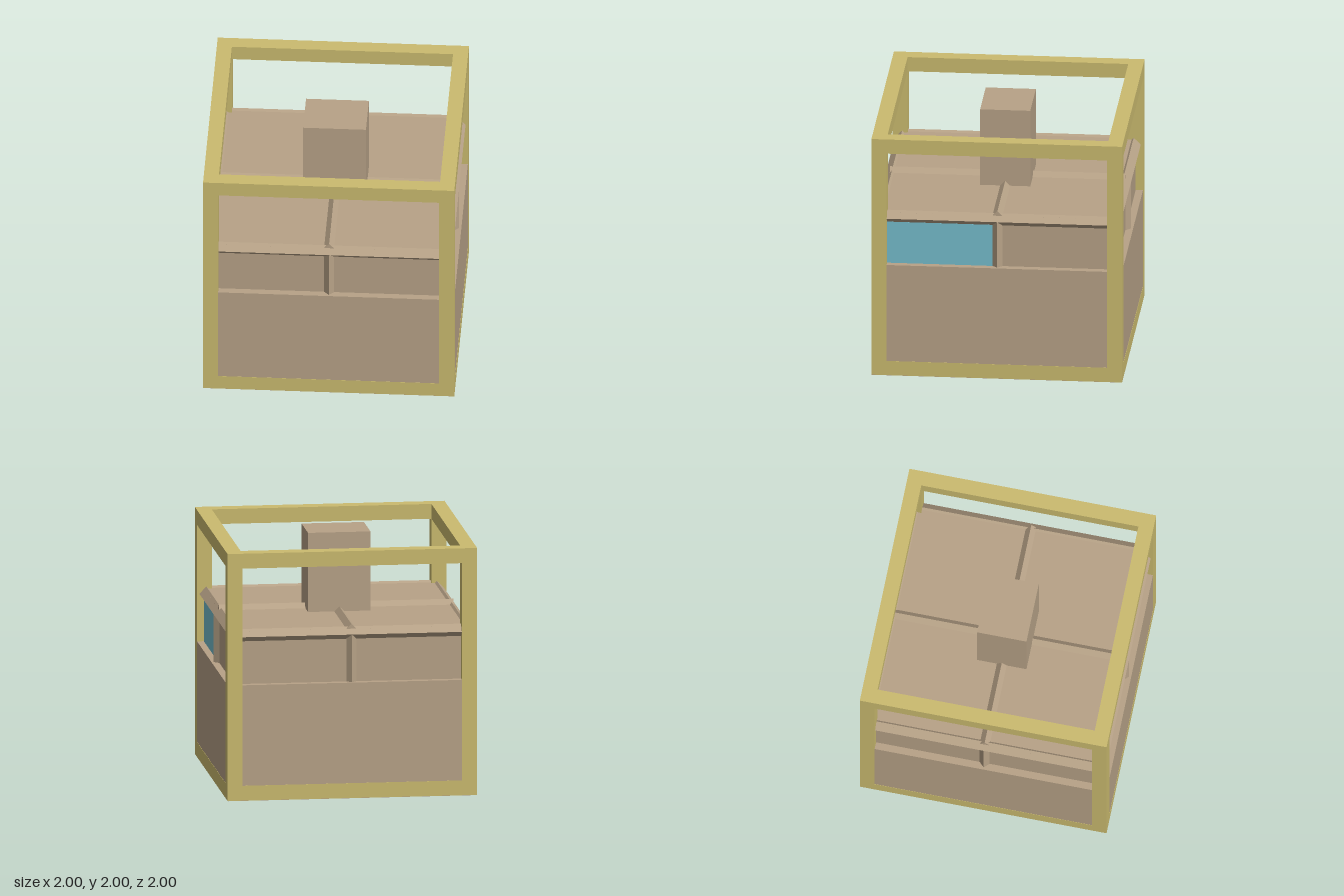
import * as THREE from 'three';

export function createModel() {
  const tan = new THREE.MeshStandardMaterial({ color: 0xb7a287 });
  tan.name = 'tan body';
  const olive = new THREE.MeshStandardMaterial({ color: 0xcbbb6f });
  olive.name = 'olive frame';
  const cyan = new THREE.MeshStandardMaterial({ color: 0x75bdcc });
  cyan.name = 'cyan window';

  const model = new THREE.Group();
  model.name = 'framedCube';

  const box = (name, mat, size, pos, parent = model) => {
    const mesh = new THREE.Mesh(new THREE.BoxGeometry(...size), mat);
    mesh.name = name;
    mesh.position.set(...pos);
    parent.add(mesh);
    return mesh;
  };

  // Square bar turned 45 degrees about its long axis
  const TRIM = 0.08;
  const trimBar = (name, axis, length, pos) => {
    const size = [TRIM, TRIM, TRIM];
    size['xyz'.indexOf(axis)] = length;
    box(name, tan, size, pos).rotation[axis] = Math.PI / 4;
  };

  // Outer frame: four posts, with four rails at top and bottom
  const frame = new THREE.Group();
  frame.name = 'frame';
  model.add(frame);
  const T = 0.12, C = 0.94;
  for (const a of [-1, 1]) {
    for (const b of [-1, 1]) {
      box('framePost', olive, [T, 1.998, T], [a * C, 1.001, b * C], frame);
    }
    for (const y of [0.062, C + 1]) {
      box('railX', olive, [1.76, T, T], [0, y, a * C], frame);
      box('railZ', olive, [T, T, 1.76], [a * C, y, 0], frame);
    }
  }

  // Lower block, recessed upper walls with flat roof, central tower
  box('base', tan, [1.996, 0.935, 1.996], [0, 0.4675, 0]);
  box('upperWalls', tan, [1.88, 0.43, 1.88], [0, 1.145, 0]);
  box('tower', tan, [0.5, 0.64, 0.4], [0, 1.68, 0]);

  // Roof edge trims and wall dividers on all four sides
  const OFF = 0.9234;
  for (const s of [-1, 1]) {
    trimBar('roofEdgeX', 'x', 1.88, [0, 1.32, s * OFF]);
    trimBar('roofEdgeZ', 'z', 1.88, [s * OFF, 1.32, 0]);
    trimBar('wallDivider', 'y', 0.39, [0, 1.125, s * OFF]);
    trimBar('wallDivider', 'y', 0.39, [s * OFF, 1.125, 0]);
  }

  // Crossing ridges on the roof
  trimBar('roofRidgeX', 'x', 1.88, [0, 1.3434, 0]);
  trimBar('roofRidgeZ', 'z', 1.88, [0, 1.3434, 0]);

  // Single window pane on the front half of the +x wall
  box('window', cyan, [0.006, 0.35, 0.9], [0.941, 1.108, 0.49]);

  return model;
}
